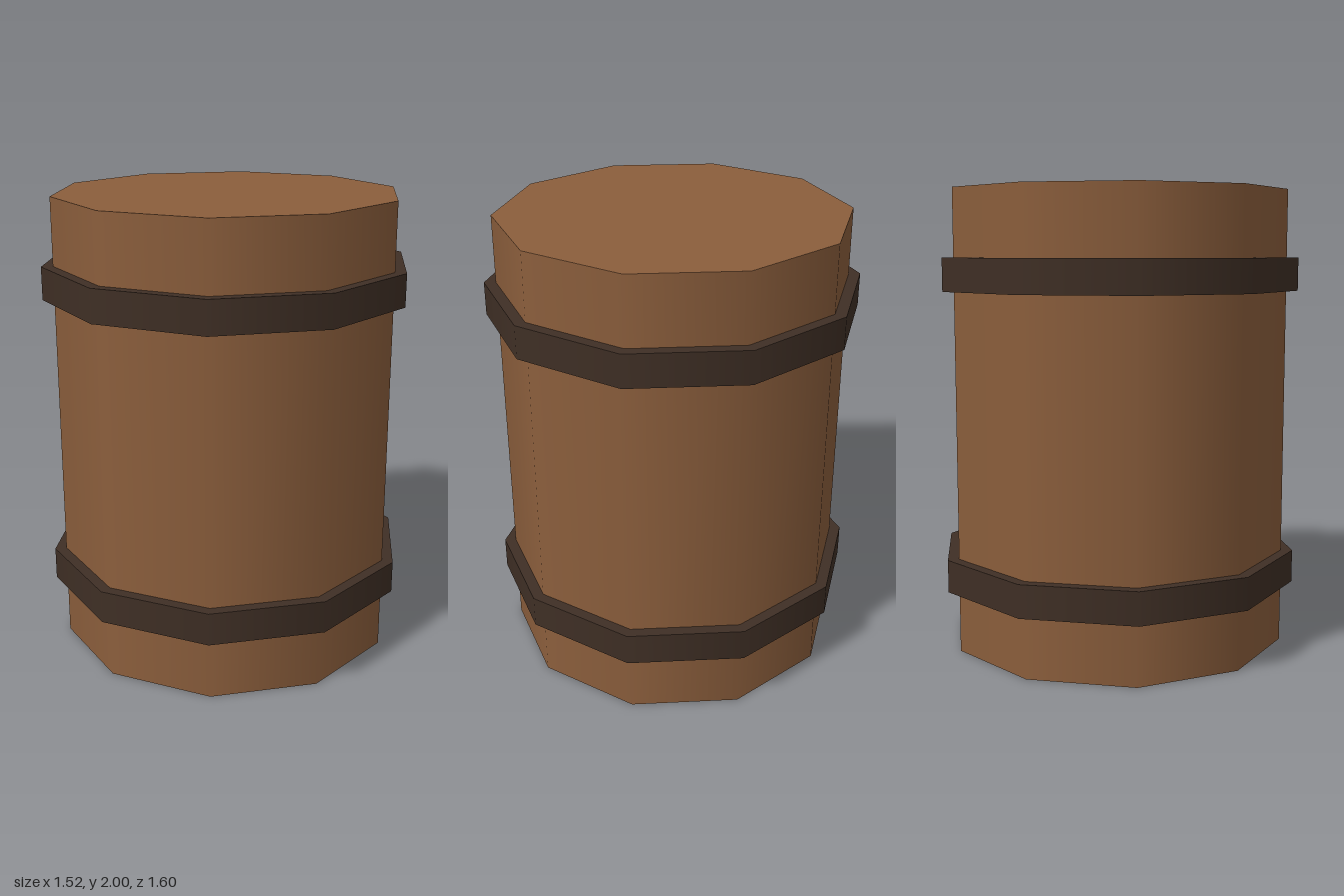
import * as THREE from 'three';

const SIDES = 10;

export function createModel() {
  const wood = new THREE.MeshStandardMaterial({ color: 0x8b5e3c });
  wood.name = 'brown wood';
  const iron = new THREE.MeshStandardMaterial({ color: 0x3f2f25 });
  iron.name = 'dark iron';

  const barrel = new THREE.Group();
  barrel.name = 'barrel';

  // Ten-sided upright prism with smooth side normals and flat ends
  const addDrum = (name, radius, height, y, material) => {
    const mesh = new THREE.Mesh(new THREE.CylinderGeometry(radius, radius, height, SIDES), material);
    mesh.name = name;
    mesh.position.y = y;
    barrel.add(mesh);
  };

  // Wooden body
  addDrum('body', 0.75, 2, 1, wood);

  // Hoops around the body
  addDrum('lowerHoop', 0.8, 0.142, 0.342, iron);
  addDrum('upperHoop', 0.8, 0.142, 1.638, iron);

  return barrel;
}
